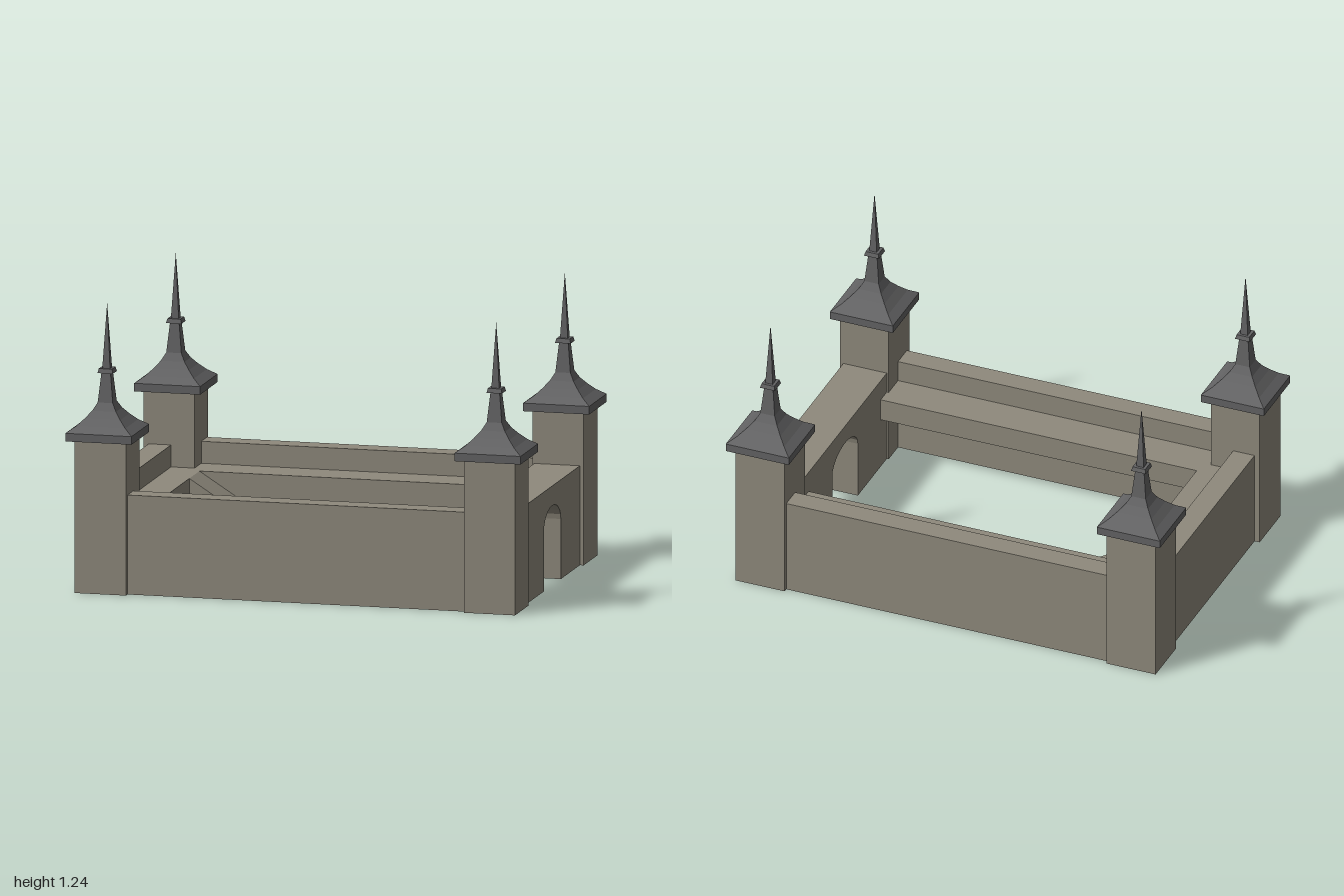
import * as THREE from 'three';

const stone = new THREE.MeshStandardMaterial({ name: 'stone', color: 0x8f8a7d, side: THREE.DoubleSide });
const slate = new THREE.MeshStandardMaterial({ name: 'slate', color: 0x636364 });

// Flat normals on every face; optionally leaves out faces lying on the ground
function faceted(geometry, openBase = false) {
  const geo = geometry.index ? geometry.toNonIndexed() : geometry;
  geo.clearGroups();
  if (openBase) {
    const p = geo.attributes.position;
    const kept = [];
    for (let i = 0; i < p.count; i += 3) {
      if (Math.max(p.getY(i), p.getY(i + 1), p.getY(i + 2)) > 1e-4) kept.push(i, i + 1, i + 2);
    }
    geo.setIndex(kept);
    const open = geo.toNonIndexed();
    open.computeVertexNormals();
    return open;
  }
  geo.computeVertexNormals();
  return geo;
}

function addMesh(parent, name, geometry, material) {
  const mesh = new THREE.Mesh(geometry, material);
  mesh.name = name;
  parent.add(mesh);
  return mesh;
}

// Box given by its limits on each axis
function addBlock(parent, name, [x0, x1], [y0, y1], [z0, z1]) {
  const geo = new THREE.BoxGeometry(x1 - x0, y1 - y0, z1 - z0);
  geo.translate((x0 + x1) / 2, (y0 + y1) / 2, (z0 + z1) / 2);
  return addMesh(parent, name, faceted(geo, true), stone);
}

// Square spire swept from half-width and height pairs
function spireGeometry() {
  const profile = [
    [0, 0.66], [0.145, 0.66], [0.145, 0.695],
    [0.108, 0.721], [0.078, 0.75], [0.052, 0.78], [0.033, 0.813],
    [0.02, 0.94], [0.034, 0.94], [0.029, 0.959], [0.017, 0.959], [0, 1.24],
  ].map(([half, y]) => new THREE.Vector2(half * Math.SQRT2, y));
  return faceted(new THREE.LatheGeometry(profile, 4, Math.PI / 4));
}

// Gate wall outline, drawn along z and up, with the arch cut from its foot
function gateWallGeometry() {
  const shape = new THREE.Shape();
  shape.moveTo(-0.52, 0);
  shape.lineTo(-0.14, 0);
  for (let i = 0; i <= 12; i++) {
    const a = Math.PI * (1 - i / 12);
    shape.lineTo(0.14 * Math.cos(a), 0.26 + 0.085 * Math.sin(a));
  }
  shape.lineTo(0.14, 0);
  shape.lineTo(0.52, 0);
  shape.lineTo(0.52, 0.43);
  shape.lineTo(-0.52, 0.43);
  shape.closePath();
  const geo = new THREE.ExtrudeGeometry(shape, { depth: 0.2, bevelEnabled: false });
  geo.rotateY(Math.PI / 2);
  geo.translate(0.75, 0, 0);
  return faceted(geo, true);
}

export function createModel() {
  const model = new THREE.Group();
  model.name = 'walledCourtyard';

  // Corner towers with spires
  const shaft = new THREE.BoxGeometry(0.225, 0.66, 0.226).translate(0, 0.33, 0);
  const shaftGeo = faceted(shaft, true);
  const spireGeo = spireGeometry();
  for (const sx of [-1, 1]) {
    for (const sz of [-1, 1]) {
      const tower = new THREE.Group();
      tower.name = (sz > 0 ? 'front' : 'back') + (sx > 0 ? 'Left' : 'Right') + 'Tower';
      addMesh(tower, 'towerShaft', shaftGeo, stone);
      addMesh(tower, 'towerSpire', spireGeo, slate);
      tower.position.set(sx * 0.854, 0, sz * 0.57);
      model.add(tower);
    }
  }

  // Curtain walls
  const full = [0, 0.43];
  addBlock(model, 'frontWall', [-0.9, 0.9], full, [0.56, 0.657]);
  addBlock(model, 'backWall', [-0.9, 0.9], full, [-0.665, -0.568]);
  addBlock(model, 'rightWall', [-0.943, -0.845], full, [-0.6, 0.6]);
  addMesh(model, 'gateWall', gateWallGeometry(), stone);

  // Raised walkways behind the parapets
  const deck = [0.235, 0.335];
  addBlock(model, 'frontWalkway', [-0.845, 0.75], deck, [0.39, 0.56]);
  addBlock(model, 'backWalkway', [-0.845, 0.75], deck, [-0.568, -0.4]);
  addBlock(model, 'rightWalkway', [-0.845, -0.705], deck, [-0.4, 0.39]);

  // Ramp from the courtyard up to the walkway
  const slope = new THREE.Shape([
    new THREE.Vector2(-0.705, 0), new THREE.Vector2(-0.175, 0), new THREE.Vector2(-0.705, 0.335),
  ]);
  const ramp = new THREE.ExtrudeGeometry(slope, { depth: 0.168, bevelEnabled: false });
  ramp.translate(0, 0, -0.399);
  addMesh(model, 'ramp', faceted(ramp, true), stone);

  return model;
}
